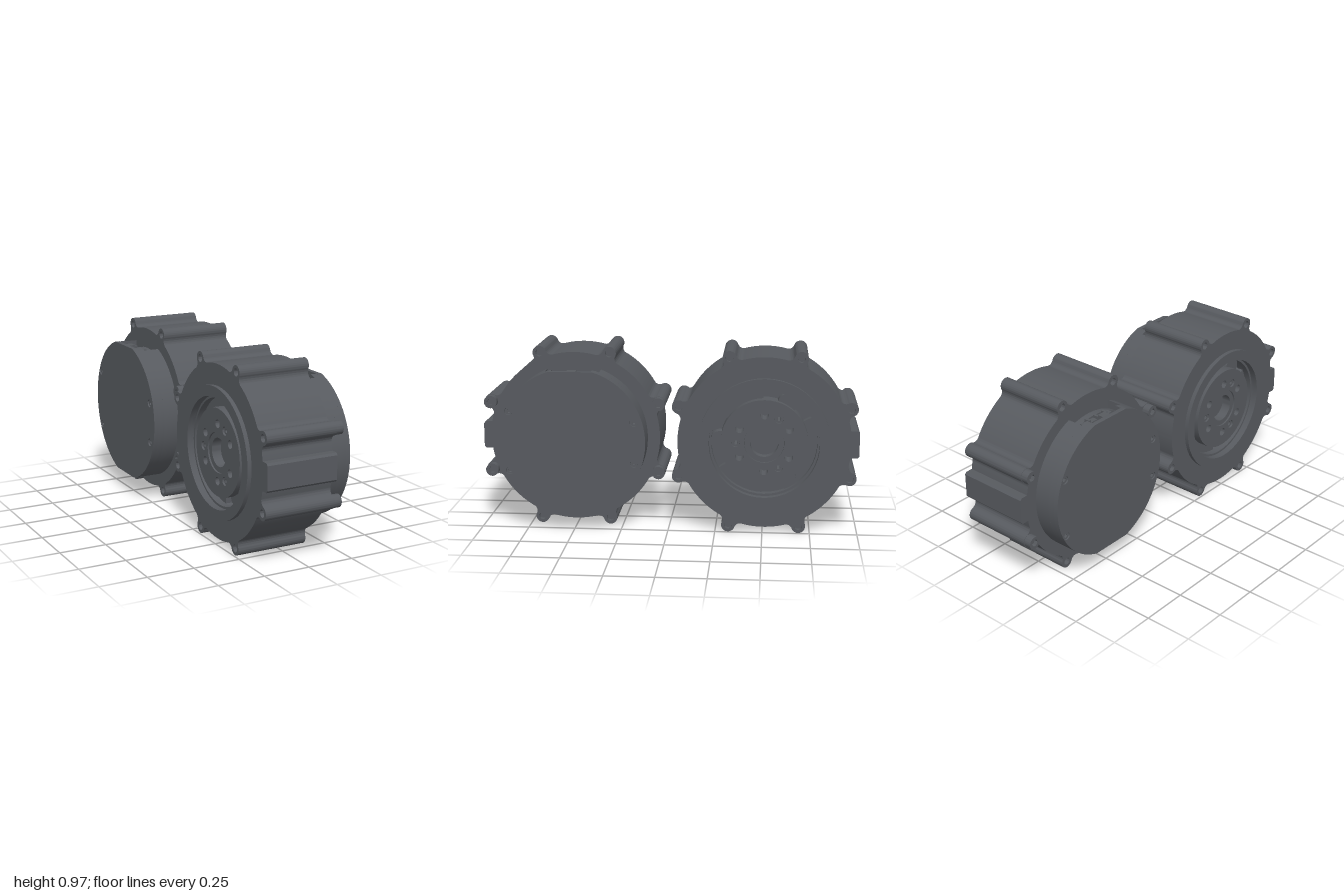
import * as THREE from 'three';
import { toCreasedNormals } from 'three/addons/utils/BufferGeometryUtils.js';

const material = new THREE.MeshStandardMaterial({ color: 0x575a5f });
const rad = THREE.MathUtils.degToRad;
const polar = (r, a, cx = 0, cy = 0) => new THREE.Vector2(cx + r * Math.cos(a), cy + r * Math.sin(a));

function circle(r, x = 0, y = 0) {
  return new THREE.Shape().absarc(x, y, r, 0, Math.PI * 2, false);
}

// Extrudes a shape, with circular holes [x, y, r], between two depths
function slab(parent, name, shape, z0, z1, holes = []) {
  for (const [x, y, r] of holes) {
    shape.holes.push(new THREE.Path().absarc(x, y, r, 0, Math.PI * 2, true));
  }
  const geo = new THREE.ExtrudeGeometry(shape, { depth: z1 - z0, bevelEnabled: false, curveSegments: 24 });
  geo.translate(0, 0, z0);
  const mesh = new THREE.Mesh(toCreasedNormals(geo, 0.5), material);
  mesh.name = name;
  parent.add(mesh);
  return mesh;
}

function box(parent, name, w, h, d, x, y, z) {
  const mesh = new THREE.Mesh(new THREE.BoxGeometry(w, h, d), material);
  mesh.name = name;
  mesh.position.set(x, y, z);
  parent.add(mesh);
}

// Hexagonal opening for socket screws
function hexPath(x, y, r) {
  const points = [];
  for (let i = 0; i < 6; i++) points.push(polar(r, -i * Math.PI / 3, x, y));
  return new THREE.Path(points);
}

const BODY_R = 0.455, LUG_R = 0.036, LUG_AT = 0.486, FILLET = 0.032;
const lugAngles = Array.from({ length: 8 }, (_, i) => rad(22.5 + 45 * i));

// Round housing with eight filleted screw lugs and one square boss
function housingShape() {
  const s = new THREE.Shape();
  const b = BODY_R + FILLET, c = LUG_R + FILLET;
  const d = Math.acos((LUG_AT ** 2 + b ** 2 - c ** 2) / (2 * LUG_AT * b));
  const angle = (from, to) => Math.atan2(to.y - from.y, to.x - from.x);
  lugAngles.forEach((t, i) => {
    const lug = polar(LUG_AT, t), f1 = polar(b, t - d), f2 = polar(b, t + d);
    let start = t - rad(45) + d;
    if (i === 4) {
      s.absarc(0, 0, BODY_R, start, Math.PI - 0.161, false);
      for (const [x, y] of [[-0.485, 0.073], [-0.495, 0.062], [-0.495, -0.062], [-0.485, -0.073]]) s.lineTo(x, y);
      start = Math.PI + 0.161;
    }
    s.absarc(0, 0, BODY_R, start, t - d, false);
    s.absarc(f1.x, f1.y, FILLET, t - d + Math.PI, angle(f1, lug), true);
    s.absarc(lug.x, lug.y, LUG_R, angle(lug, f1), angle(lug, f2), false);
    s.absarc(f2.x, f2.y, FILLET, angle(f2, lug), t + d + Math.PI, true);
  });
  return s;
}

// Side wall of the cap, leaving a window of half-width w at top and bottom
function wallShape(w) {
  const points = [], n = 48;
  for (const [r, dir] of [[0.39, 1], [0.35, -1]]) {
    const a = Math.acos(w / r);
    for (let i = 0; i <= n; i++) {
      const p = polar(r, dir * a * (2 * i / n - 1));
      p.y = THREE.MathUtils.clamp(p.y, -0.373, 0.373);
      points.push(p);
    }
  }
  return new THREE.Shape(points);
}

function sector(r0, r1, a0, a1) {
  return new THREE.Shape().absarc(0, 0, r1, a0, a1, false).absarc(0, 0, r0, a1, a0, true);
}

// One motor unit: axis along z, cap towards +z, output towards -z
function createUnit() {
  const unit = new THREE.Group();

  const lugHoles = lugAngles.map(a => {
    const p = polar(LUG_AT, a);
    return [p.x, p.y, 0.02];
  });
  slab(unit, 'housing', housingShape(), -0.24, 0.15, [[0, 0, 0.29], ...lugHoles]);

  // Socket screws in the lugs nearest the sides
  [0, 3, 4, 7].forEach(i => {
    const [x, y] = lugHoles[i];
    const head = circle(0.034, x, y);
    head.holes.push(hexPath(x, y, 0.019));
    slab(unit, 'lugScrewHead', head, 0.15, 0.19);
    slab(unit, 'lugScrewShank', circle(0.0195, x, y), -0.22, 0.17);
  });
  [1, 2, 5, 6].forEach(i => {
    const [x, y] = lugHoles[i];
    slab(unit, 'lugScrewEnd', circle(0.0195, x, y), -0.215, 0.125);
  });

  // Cap: two side walls, stepped around the windows, and a cover plate
  for (const turn of [0, Math.PI]) {
    slab(unit, 'capWall', wallShape(0.143), 0.15, 0.235).rotation.z = turn;
    slab(unit, 'capUpperWall', wallShape(0.105), 0.235, 0.27).rotation.z = turn;
  }
  const a = Math.asin(0.373 / 0.39);
  const cover = new THREE.Shape()
    .absarc(0, 0, 0.39, -a, a, false)
    .absarc(0, 0, 0.39, Math.PI - a, Math.PI + a, false);
  const coverHoles = [[-0.33, 0.16], [-0.33, -0.16], [0.33, 0.11], [0.33, -0.11]];
  slab(unit, 'coverPlate', cover, 0.27, 0.295, coverHoles.map(([x, y]) => [x, y, 0.021]));
  for (const [x, y] of coverHoles) {
    const head = circle(0.02, x, y);
    head.holes.push(hexPath(x, y, 0.011));
    slab(unit, 'coverScrew', head, 0.26, 0.288);
  }

  // Electronics seen through the cap windows
  slab(unit, 'innerBoard', circle(0.345), 0.14, 0.185);
  for (const side of [1, -1]) {
    box(unit, 'connector', 0.2, 0.07, 0.03, 0, side * 0.3, 0.2);
    for (const x of [-0.06, 0, 0.06]) box(unit, 'connectorRib', 0.015, 0.1, 0.03, x, side * 0.3, 0.2);
    box(unit, 'windowTab', 0.05, 0.03, 0.035, 0, side * 0.358, 0.2525);
  }

  // Output side: raised ring, groove with ribs, and drilled hub
  slab(unit, 'outputRing', circle(0.345), -0.262, -0.23, [[0, 0, 0.29]]);
  slab(unit, 'ringLip', circle(0.292), -0.225, -0.19, [[0, 0, 0.278]]);
  slab(unit, 'grooveFloor', circle(0.291), -0.14, -0.1);
  for (const m of [60, 180, 300]) {
    slab(unit, 'carrierRib', sector(0.22, 0.28, rad(m - 28), rad(m + 28)), -0.185, -0.14);
  }
  for (const m of [0, 120, 240]) {
    const p = polar(0.235, rad(m));
    slab(unit, 'planetGear', circle(0.052, p.x, p.y), -0.2, -0.14);
  }

  const hubHoles = [[0, 0, 0.105]], screws = [];
  for (let i = 0; i < 6; i++) {
    const p = polar(0.15, rad(30 + 60 * i));
    hubHoles.push([p.x, p.y, 0.022]);
  }
  for (const m of [0, 120, 240]) {
    const p = polar(0.15, rad(m));
    hubHoles.push([p.x, p.y, 0.023]);
    screws.push(p);
  }
  slab(unit, 'outputHub', circle(0.23), -0.24, -0.14, hubHoles);
  for (const p of screws) {
    const head = circle(0.022, p.x, p.y);
    head.holes.push(hexPath(p.x, p.y, 0.012));
    slab(unit, 'hubScrew', head, -0.23, -0.14);
  }
  slab(unit, 'hubBushing', circle(0.104), -0.232, -0.14, [[0, 0, 0.075]]);
  slab(unit, 'shaftEnd', circle(0.076), -0.18, -0.14);
  return unit;
}

export function createModel() {
  const model = new THREE.Group();
  // Two identical units, back to back by a half turn
  for (const side of [1, -1]) {
    const unit = createUnit();
    unit.name = side > 0 ? 'frontMotor' : 'rearMotor';
    unit.rotation.y = side * Math.PI / 2;
    unit.position.set(0, 0.485, side * 0.505);
    model.add(unit);
  }
  return model;
}
